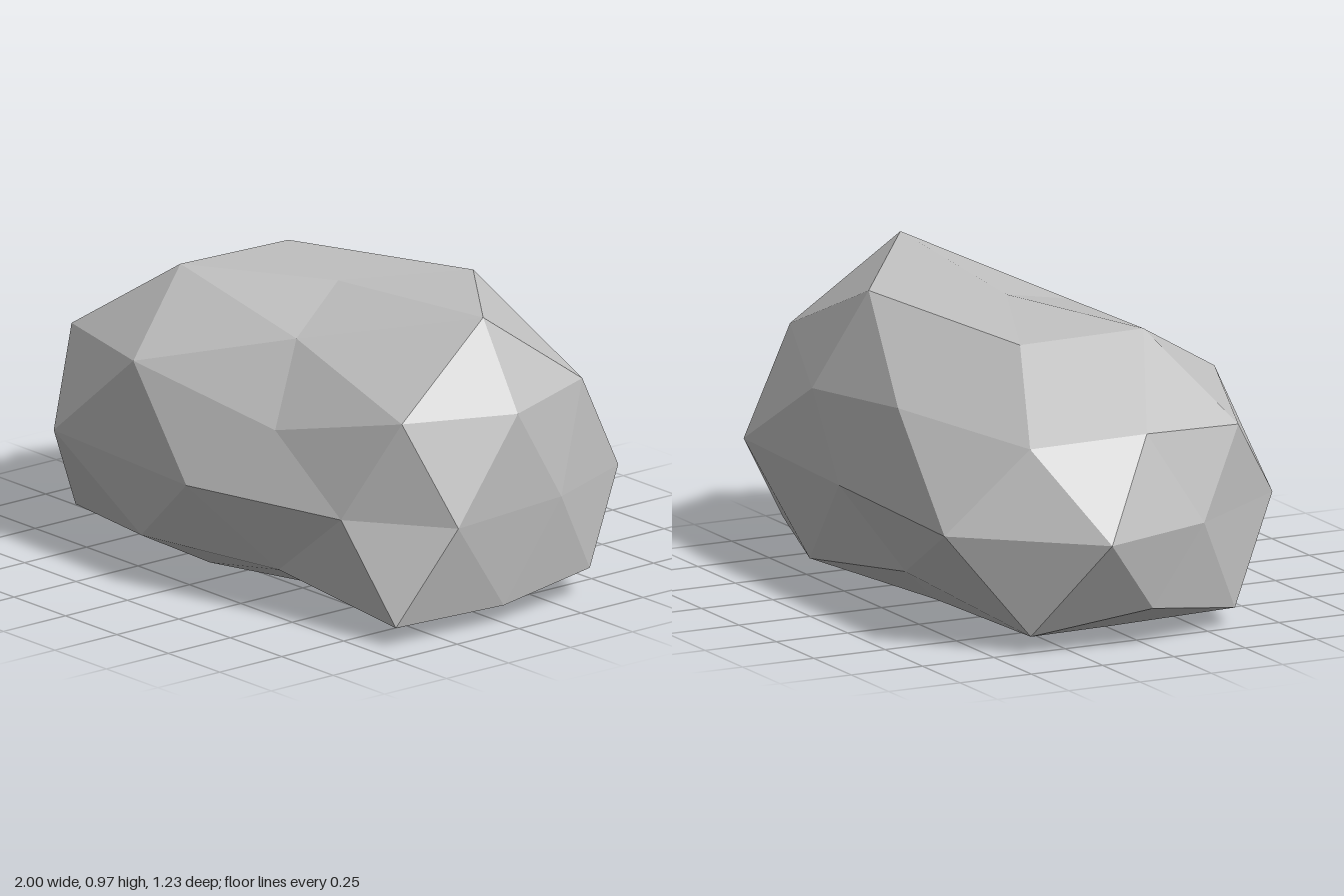
import * as THREE from 'three';

// Radii of the boulder's corners, ring by ring from top to bottom
const TOP = 0.625;
const UPPER = [0.804, 0.62, 0.70, 0.69, 0.748];
const SHOULDER = [0.83, 0.72, 0.55, 0.70, 0.695, 0.65, 0.70, 0.66, 0.62, 0.73];
const EQUATOR = [0.795, 0.58, 0.612, 0.70, 0.60, 0.69, 0.76, 0.587, 0.69, 0.69];
const LOWER = [0.72, 0.80, 0.545, 0.64, 0.72, 0.645, 0.755, 0.585, 0.66, 0.73];
const UNDER = [0.62, 0.71, 0.80, 0.70, 0.65];
const BOTTOM = 0.77;

// Stretch a point of the sphere, then flatten the left end and the underside
function place(height, degrees, r) {
  const a = THREE.MathUtils.degToRad(degrees);
  const ring = Math.sqrt(1 - height * height);
  let x = 1.7 * ring * Math.cos(a) * r;
  let y = 0.87 * height * r;
  const z = ring * Math.sin(a) * r;
  if (x > 0.7) x = 0.7 + (x - 0.7) * 0.31;
  if (y < -0.315) y = -0.315 + (y + 0.315) * 0.17;
  return new THREE.Vector3(x + 0.12, y + 0.375, z);
}

export function createModel() {
  // Rings of a once-divided icosahedron standing on a corner
  const T = place(1, 0, TOP);
  const B = place(-1, 0, BOTTOM);
  const U = UPPER.map((r, i) => place(0.851, 72 * i, r));
  const M = SHOULDER.map((r, i) => place(i % 2 ? 0.526 : 0.447, 36 * i, r));
  const E = EQUATOR.map((r, i) => place(0, 18 + 36 * i, r));
  const L = LOWER.map((r, i) => place(i % 2 ? -0.447 : -0.526, 36 * i, r));
  const D = UNDER.map((r, i) => place(-0.851, 36 + 72 * i, r));

  const corners = [];
  const centre = new THREE.Vector3(0.12, 0.375, 0);
  const face = (a, b, c) => {
    const normal = b.clone().sub(a).cross(c.clone().sub(a));
    const outward = normal.dot(a.clone().sub(centre)) > 0;
    for (const p of outward ? [a, b, c] : [a, c, b]) corners.push(p);
  };

  for (let k = 0; k < 5; k++) {
    const n = (k + 1) % 5;
    const i = 2 * k, j = i + 1, m = (i + 2) % 10, o = (i + 3) % 10, p = (i + 9) % 10;
    // cap
    face(T, U[k], U[n]);
    face(U[k], M[i], M[j]);
    face(U[k], M[j], U[n]);
    face(U[n], M[j], M[m]);
    // sides
    face(M[i], E[i], M[j]);
    face(M[j], E[i], E[j]);
    face(M[j], E[j], M[m]);
    face(E[i], L[j], E[j]);
    face(M[i], E[p], E[i]);
    face(L[i], E[i], E[p]);
    face(L[i], L[j], E[i]);
    face(L[p], L[i], E[p]);
    // underside
    face(B, D[k], D[n]);
    face(D[k], L[j], L[m]);
    face(D[k], L[m], D[n]);
    face(D[n], L[m], L[o]);
  }

  const geometry = new THREE.BufferGeometry().setFromPoints(corners);
  geometry.computeVertexNormals();

  const stone = new THREE.MeshStandardMaterial({ color: 0xc2c2c2 });
  stone.name = 'stoneGrey';
  const boulder = new THREE.Mesh(geometry, stone);
  boulder.name = 'boulder';

  const group = new THREE.Group();
  group.name = 'rock';
  group.add(boulder);
  return group;
}
